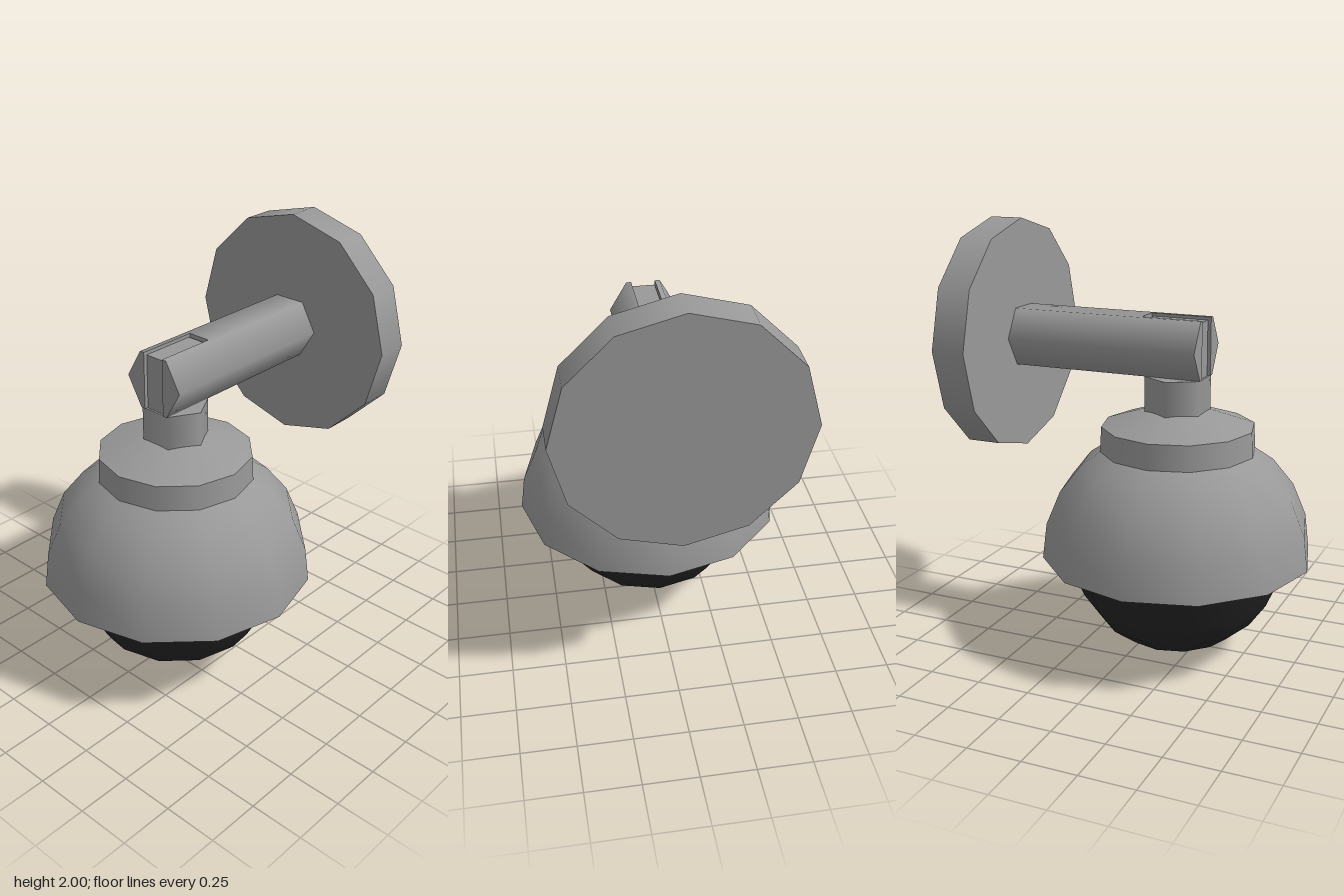
import * as THREE from 'three';

export function createModel() {
  const model = new THREE.Group();
  const gray = new THREE.MeshStandardMaterial({ color: 0x999999 });
  gray.name = 'grayMetal';
  const black = new THREE.MeshStandardMaterial({ color: 0x262626 });
  black.name = 'darkGlass';

  const LAMP_Z = 0.157, ARM_Y = 1.455;

  function add(name, geometry, material, x, y, z) {
    const mesh = new THREE.Mesh(geometry, material);
    mesh.name = name;
    mesh.position.set(x, y, z);
    model.add(mesh);
    return mesh;
  }

  // Twelve-sided turned part on the lamp's axis, profile listed from bottom to top
  function turned(name, profile, material) {
    const points = profile.map(([r, y]) => new THREE.Vector2(r, y));
    add(name, new THREE.LatheGeometry(points, 12), material, 0, 0, LAMP_Z);
  }

  // Lamp body
  turned('lens', [[0, 0.005], [0.137, 0.02], [0.25, 0.067], [0.365, 0.153],
    [0.445, 0.265], [0.53, 0.465], [0.535, 0.5]], black);
  turned('housingRim', [[0.48, 0.465], [0.635, 0.465]], gray);
  turned('housing', [[0.635, 0.465], [0.615, 0.63], [0.55, 0.785], [0.45, 0.91], [0.355, 0.975]], gray);
  turned('collar', [[0.362, 0.972], [0.356, 1.09]], gray);
  turned('cap', [[0.356, 1.09], [0.14, 1.162], [0, 1.17]], gray);

  // Hexagonal neck and the tongue that sits in the arm's slot
  add('neck', new THREE.CylinderGeometry(0.152, 0.152, 0.18, 6, 1, false, Math.PI / 2),
    gray, 0, 1.23, LAMP_Z - 0.004);
  add('tongue', new THREE.BoxGeometry(0.104, 0.275, 0.265), gray, 0, 1.4375, 0.1425);

  // Solid rear length of the hexagonal arm
  const arm = add('arm', new THREE.CylinderGeometry(0.155, 0.155, 0.65, 6, 1, false, Math.PI / 2),
    gray, 0, ARM_Y, -0.325);
  arm.rotation.x = Math.PI / 2;

  // Two prongs either side of the slot
  const h = 0.155 * Math.sqrt(3) / 2;
  for (const side of [1, -1]) {
    const outline = [[0.055, -h], [0.0775, -h], [0.155, 0], [0.0775, h], [0.055, h]]
      .map(([x, y]) => new THREE.Vector2(x * side, y));
    const geometry = new THREE.ExtrudeGeometry(new THREE.Shape(outline), { depth: 0.29, bevelEnabled: false });
    // Round the shading of the outer faces to match the arm
    const { position: p, normal: n } = geometry.attributes;
    for (let i = 0; i < p.count; i++) {
      if (Math.abs(n.getZ(i)) > 0.5 || n.getX(i) * side < -0.9) continue;
      const v = new THREE.Vector3(p.getX(i), p.getY(i), 0).normalize();
      n.setXYZ(i, v.x, v.y, 0);
    }
    add(side > 0 ? 'leftProng' : 'rightProng', geometry, gray, 0, ARM_Y, 0);
  }

  // Twelve-sided wall plate
  const plate = add('wallPlate', new THREE.CylinderGeometry(0.546, 0.546, 0.16, 12), gray, 0, ARM_Y, -0.718);
  plate.rotation.x = Math.PI / 2;

  return model;
}
